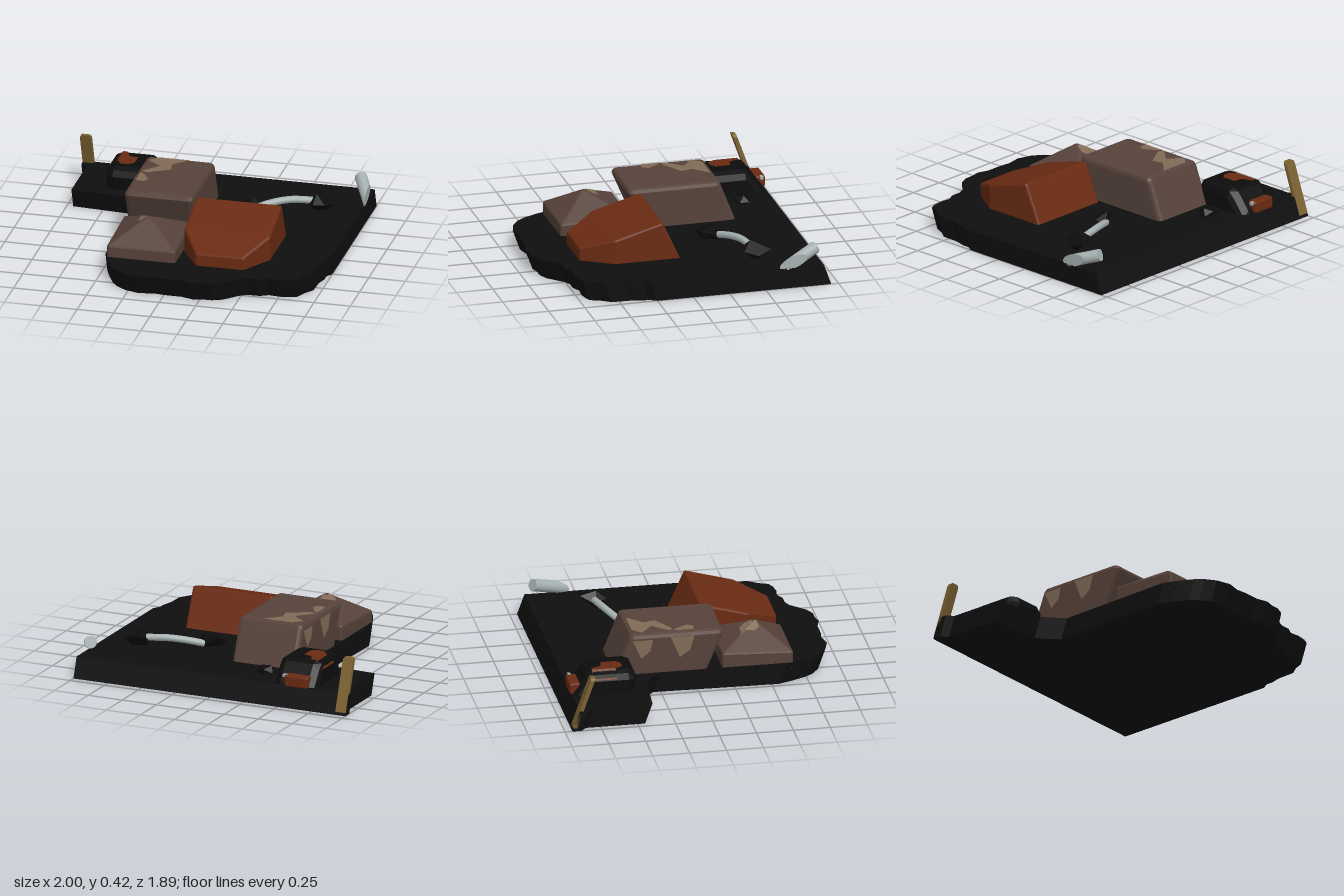
import * as THREE from 'three';
import { ConvexGeometry } from 'three/addons/geometries/ConvexGeometry.js';

const colours = {
  asphalt: 0x0f0f0f, rubber: 0x0c0c0c, rust: 0x6a2b12, brown: 0x56423a,
  tan: 0x806b56, wood: 0x7c6232, steel: 0xa6b0b0
};

export function createModel() {
  const group = new THREE.Group();
  const mats = {};
  for (const [name, color] of Object.entries(colours)) {
    mats[name] = new THREE.MeshStandardMaterial({ color });
    mats[name].name = name;
  }

  function add(name, geometry, mat) {
    const mesh = new THREE.Mesh(geometry, mats[mat]);
    mesh.name = name;
    group.add(mesh);
    return mesh;
  }

  // Move every vertex of a geometry by a rule
  function warp(geometry, rule) {
    const p = geometry.attributes.position, v = new THREE.Vector3();
    for (let i = 0; i < p.count; i++) {
      rule(v.fromBufferAttribute(p, i));
      p.setXYZ(i, v.x, v.y, v.z);
    }
    geometry.computeVertexNormals();
    return geometry;
  }

  // Convex block with softened edges of radius r
  function softBlock(name, corners, r, mat) {
    const pts = corners.map(c => new THREE.Vector3(...c));
    const mid = new THREE.Box3().setFromPoints(pts).getCenter(new THREE.Vector3());
    const inset = (v, m) => v - (Math.abs(v - m) < 0.03 ? 0 : Math.sign(v - m) * r);
    const out = [];
    for (const p of pts) {
      for (let i = -1; i <= 1; i++) for (let j = -1; j <= 1; j++) for (let k = -1; k <= 1; k++) {
        const n = Math.abs(i) + Math.abs(j) + Math.abs(k);
        if (n === 0 || n === 3) continue;
        const s = r / Math.sqrt(n);
        out.push(new THREE.Vector3(inset(p.x, mid.x) + i * s, inset(p.y, mid.y) + j * s, inset(p.z, mid.z) + k * s));
      }
    }
    return add(name, new ConvexGeometry(out), mat);
  }

  const shapeOf = pts => new THREE.Shape(pts.map(p => new THREE.Vector2(p[0], p[1])));
  const flat = pts => pts.map(([x, z]) => [x, -z]);

  // Thin painted patch seen from above, draped on a height rule
  function topPatch(name, pts, mat, height) {
    const g = new THREE.ShapeGeometry(shapeOf(flat(pts)));
    add(name, warp(g, v => v.set(v.x, height(v.x, -v.y) + 0.004, -v.y)), mat);
  }

  // Ground slab with a ragged front, leaning forward towards the top
  const edge = [[-1, -0.9], [-1, -0.84], [-0.957, -0.8], [-0.957, -0.4], [-0.58, -0.37], [-0.45, -0.25],
    [-0.47, 0.6], [-0.43, 0.7], [-0.38, 0.8], [-0.34, 0.85], [-0.27, 0.9], [-0.17, 0.93], [-0.07, 0.91],
    [0, 0.92], [0.12, 0.92], [0.2, 0.945], [0.27, 0.93], [0.33, 0.93], [0.4, 0.9], [0.5, 0.8], [0.55, 0.78],
    [0.62, 0.78], [0.68, 0.75], [0.75, 0.76], [0.82, 0.75], [0.87, 0.73], [0.9, 0.66], [0.945, 0.6],
    [0.95, 0.47], [0.97, 0.4], [0.97, 0.35], [1, 0.3], [1, -0.9]];
  const slab = new THREE.ExtrudeGeometry(shapeOf(flat(edge)), { depth: 0.14, bevelEnabled: false });
  slab.rotateX(-Math.PI / 2);
  add('groundSlab', warp(slab, v => { v.z += (v.y - 0.14) * 0.357; }), 'asphalt');

  // Large back block
  const rear = [];
  for (const x of [-0.45, 0.02]) rear.push([x, 0.42, 0.18], [x, 0.42, -0.46], [x, 0.08, 0.06], [x, 0.08, -0.57]);
  softBlock('rearBlock', rear, 0.03, 'brown');

  // Low peaked front block
  const peak = [[-0.215, 0.37, 0.43]];
  for (const x of [-0.45, 0.02]) peak.push([x, 0.23, 0.17], [x, 0.21, 0.65], [x, 0.08, 0.17], [x, 0.08, 0.65]);
  softBlock('peakedBlock', peak, 0.015, 'brown');

  // Rust wedge with clipped front corners
  const wedge = [];
  for (const s of [-1, 1]) {
    const at = (dx, y, z) => wedge.push([0.325 + s * dx, y, z]);
    at(0.295, 0.4, 0.1); at(0.295, 0.31, 0.45); at(0.17, 0.2, 0.65);
    at(0.295, 0.08, -0.03); at(0.295, 0.08, 0.45); at(0.17, 0.08, 0.65);
  }
  softBlock('rustWedge', wedge, 0.016, 'rust');

  // Dark rounded lump behind
  const lump = [];
  for (const x of [-0.75, -0.43]) lump.push([x, 0.295, -0.46], [x, 0.295, -0.81], [x, 0.06, -0.48], [x, 0.06, -0.9]);
  softBlock('darkLump', lump, 0.06, 'rubber');

  // Worn patches on the back block
  const rearTop = () => 0.42;
  topPatch('wornPatch', [[-0.42, -0.37], [-0.36, -0.43], [-0.15, -0.43], [-0.25, -0.33], [-0.23, -0.25], [-0.38, -0.16], [-0.42, -0.18], [-0.32, -0.29]], 'tan', rearTop);
  topPatch('wornPatch', [[-0.42, -0.16], [-0.38, -0.12], [-0.34, -0.05], [-0.37, -0.01], [-0.42, -0.02]], 'tan', rearTop);
  const sides = [
    [[-0.44, 0.38], [-0.38, 0.25], [-0.32, 0.3], [-0.3, 0.38]],
    [[-0.18, 0.39], [-0.12, 0.24], [-0.05, 0.29], [-0.02, 0.39]]
  ];
  for (const pts of sides) {
    const g = new THREE.ShapeGeometry(shapeOf(pts));
    add('wornSidePatch', warp(g, v => v.set(-0.454, v.y, v.x)), 'tan');
  }

  // Worn patches on the peaked block
  const backSlope = (x, z) => 0.23 + 0.14 * (z - 0.17) / 0.26;
  const leftSlope = (x, z) => 0.23 - 0.02 * (z - 0.17) / 0.48 + 0.151 * (x + 0.45) / 0.235;
  topPatch('wornPatch', [[-0.39, 0.18], [-0.31, 0.18], [-0.3, 0.27], [-0.36, 0.26]], 'tan', backSlope);
  topPatch('wornPatch', [[-0.33, 0.3], [-0.26, 0.27], [-0.19, 0.36], [-0.2, 0.41], [-0.235, 0.41]], 'tan', backSlope);
  topPatch('wornPatch', [[-0.33, 0.305], [-0.235, 0.41], [-0.22, 0.44], [-0.27, 0.45], [-0.31, 0.39]], 'tan', leftSlope);
  topPatch('wornPatch', [[-0.44, 0.44], [-0.39, 0.51], [-0.44, 0.54]], 'tan', leftSlope);

  // Rust patch on the dark lump: flat part and rolled edge
  topPatch('rustPatch', [[-0.69, -0.76], [-0.66, -0.76], [-0.63, -0.69], [-0.57, -0.68], [-0.57, -0.58], [-0.61, -0.55], [-0.66, -0.55], [-0.69, -0.6]], 'rust', () => 0.295);
  topPatch('rustPatch', [[-0.752, -0.76], [-0.69, -0.76], [-0.69, -0.6], [-0.752, -0.6]], 'rust', x => 0.297 + (x + 0.69) * 0.9);

  // Rust chunk and bright chip at the back
  const chunk = softBlock('rustChunk', [-0.7, -0.53].flatMap(x => [[x, 0.21, -0.9], [x, 0.21, -0.85], [x, 0.13, -0.9], [x, 0.13, -0.85]]), 0.012, 'rust');
  chunk.position.y = 0.005;
  const chip = add('metalChip', new THREE.BoxGeometry(0.035, 0.02, 0.02), 'steel');
  chip.position.set(-0.53, 0.205, -0.885);

  // Flat wooden stake leaning along the back edge
  const stake = new THREE.Shape();
  stake.moveTo(-1, 0.02);
  stake.lineTo(-0.923, 0.02);
  stake.lineTo(-0.923, 0.345);
  stake.quadraticCurveTo(-0.925, 0.37, -0.945, 0.37);
  stake.lineTo(-0.978, 0.37);
  stake.quadraticCurveTo(-0.998, 0.37, -1, 0.345);
  const stakeGeo = new THREE.ExtrudeGeometry(stake, { depth: 0.028, bevelEnabled: false });
  add('woodenStake', warp(stakeGeo, v => { v.z += -0.952 + 0.357 * v.y; }), 'wood');

  // Steel pipe cut flush with the slab side
  const top = new THREE.Vector3(0.915, 0.24, -0.86), end = new THREE.Vector3(1, 0.18, -0.69);
  const axis = end.clone().sub(top), len = axis.length();
  axis.normalize();
  const pipe = new THREE.CylinderGeometry(0.042, 0.042, len, 20);
  pipe.applyQuaternion(new THREE.Quaternion().setFromUnitVectors(new THREE.Vector3(0, -1, 0), axis));
  pipe.translate(...top.clone().add(end).multiplyScalar(0.5).toArray());
  add('cutPipe', warp(pipe, v => {
    if (v.clone().sub(top).dot(axis) > len / 2) v.addScaledVector(axis, (1 - v.x) / axis.x);
  }), 'steel');

  // Bent hose with dark chunks at both ends
  const path = new THREE.CatmullRomCurve3([[0.32, 0.165, -0.345], [0.42, 0.19, -0.4], [0.54, 0.205, -0.45], [0.68, 0.2, -0.485]].map(p => new THREE.Vector3(...p)));
  add('hose', new THREE.TubeGeometry(path, 20, 0.024, 12), 'steel');

  const hull = pts => new ConvexGeometry(pts.map(p => new THREE.Vector3(...p)));
  add('hoseEndChunk', hull([[0.65, 0.18, -0.48], [0.71, 0.255, -0.47], [0.7, 0.23, -0.58], [0.8, 0.21, -0.59],
    [0.83, 0.18, -0.5], [0.78, 0.2, -0.41], [0.7, 0.2, -0.4], [0.77, 0.13, -0.5], [0.7, 0.13, -0.47]]), 'rubber');
  add('hoseEndChunk', hull([[0.23, 0.21, -0.33], [0.31, 0.24, -0.35], [0.37, 0.19, -0.3], [0.31, 0.19, -0.24],
    [0.21, 0.17, -0.23], [0.35, 0.13, -0.36], [0.23, 0.13, -0.26], [0.3, 0.13, -0.24]]), 'rubber');

  // Small loose stone
  const stone = add('smallStone', new THREE.IcosahedronGeometry(0.07, 0), 'rubber');
  stone.position.set(-0.3, 0.15, -0.69);
  stone.scale.set(1, 0.7, 0.9);

  return group;
}
